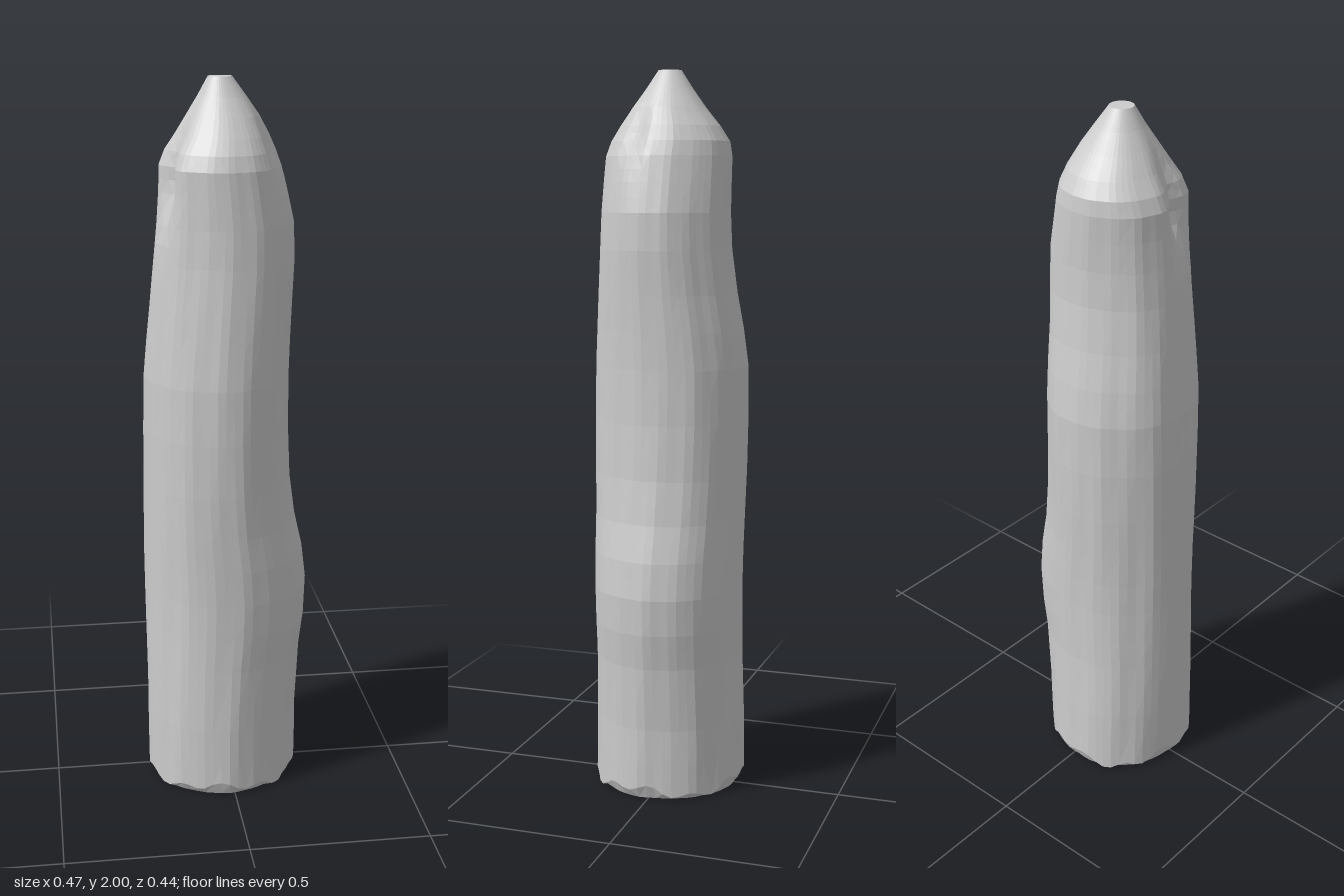
import * as THREE from 'three';

const SEG = 56;
const MAT = new THREE.MeshStandardMaterial({ color: 0xcccccc, flatShading: true, side: THREE.DoubleSide });

// Outline of the stake: [y, xMin, xMax, zMin, zMax]
const TRUNK = [
  [0.0, -0.23, 0.198, -0.21, 0.218], [0.2, -0.232, 0.2, -0.207, 0.216],
  [0.38, -0.232, 0.212, -0.202, 0.212], [0.48, -0.232, 0.226, -0.203, 0.211],
  [0.58, -0.232, 0.231, -0.204, 0.211], [0.68, -0.232, 0.22, -0.206, 0.212],
  [0.78, -0.231, 0.198, -0.209, 0.213], [0.9, -0.23, 0.183, -0.214, 0.215],
  [1.05, -0.229, 0.176, -0.218, 0.215], [1.2, -0.226, 0.175, -0.217, 0.212],
  [1.3, -0.217, 0.177, -0.204, 0.205], [1.4, -0.207, 0.18, -0.186, 0.198],
  [1.52, -0.196, 0.185, -0.171, 0.189], [1.62, -0.189, 0.182, -0.167, 0.184],
  [1.7, -0.184, 0.165, -0.167, 0.181], [1.77, -0.182, 0.15, -0.167, 0.178],
];
const TIP = [
  TRUNK.at(-1), [1.81, -0.165, 0.136, -0.162, 0.164], [1.85, -0.137, 0.118, -0.138, 0.138],
  [1.9, -0.106, 0.09, -0.098, 0.103], [1.95, -0.075, 0.054, -0.062, 0.067], [2.0, -0.047, 0.017, -0.029, 0.035],
];

// Linear refinement of an outline into n steps per span
function refine(rows, n) {
  const out = [];
  for (let i = 0; i < rows.length - 1; i++)
    for (let k = 0; k < n; k++)
      out.push(rows[i].map((v, j) => v + ((rows[i + 1][j] - v) * k) / n));
  out.push(rows.at(-1));
  return out;
}

// Soft local hollow around an angle and height
function dent(a, y, a0, y0, wa, wy, depth) {
  const da = Math.atan2(Math.sin(a - a0), Math.cos(a - a0)) / wa, dy = (y - y0) / wy;
  return depth * Math.exp(-da * da - dy * dy);
}

// Point on the worn wood surface
function surface([y, x0, x1, z0, z1], a) {
  const fade = THREE.MathUtils.clamp((2 - y) / 0.25, 0, 1);
  const grain = 0.010 * Math.sin(3 * a + 2.6 * y + 1) + 0.009 * Math.sin(5 * a - 3.1 * y)
    + 0.007 * Math.sin(9 * a + 1.7 * Math.sin(2.5 * y)) + 0.005 * Math.sin(17 * a + 4 * y);
  const k = 1 + fade * grain
    - dent(a, y, 2.85, 1.75, 0.28, 0.12, 0.27)
    - dent(a, y, 0.4, 1.83, 0.25, 0.08, 0.12);
  return [(x0 + x1) / 2 + ((x1 - x0) / 2) * k * Math.cos(a), y, (z0 + z1) / 2 + ((z1 - z0) / 2) * k * Math.sin(a)];
}

// Skin rings of points, from bottom to top
function loft(name, rings) {
  const index = [];
  for (let r = 0; r < rings.length - 1; r++)
    for (let i = 0; i < SEG; i++) {
      const a = r * SEG + i, b = r * SEG + ((i + 1) % SEG), c = a + SEG, d = b + SEG;
      if ((r + i) % 2) index.push(a, c, b, b, c, d);
      else index.push(a, c, d, a, d, b);
    }
  const geo = new THREE.BufferGeometry();
  geo.setAttribute('position', new THREE.Float32BufferAttribute(rings.flat(2), 3));
  geo.setIndex(index);
  geo.computeVertexNormals();
  const mesh = new THREE.Mesh(geo, MAT);
  mesh.name = name;
  return mesh;
}

const ring = (fn) => Array.from({ length: SEG }, (_, i) => fn((i / SEG) * Math.PI * 2));
const scaled = (pts, s, y, cx, cz) => pts.map(([x, , z]) => [cx + (x - cx) * s, y, cz + (z - cz) * s]);

export function createModel() {
  const group = new THREE.Group();
  group.name = 'woodenStake';

  const trunk = refine(TRUNK, 2).map((row) => ring((a) => surface(row, a)));
  // Splintered lower rim
  trunk[0] = trunk[0].map(([x, , z], i) => {
    const a = (i / SEG) * Math.PI * 2;
    const chip = 0.5 + 0.3 * Math.sin(4 * a + 1) + 0.25 * Math.sin(11 * a + 2);
    return [x, 0.04 * THREE.MathUtils.clamp(chip, 0.05, 1), z];
  });
  group.add(loft('trunk', trunk));

  // Flat sawn underside with a narrow broken edge
  const base = scaled(trunk[0], 0.94, 0, -0.015, 0.003);
  group.add(loft('underside', [scaled(base, 0, 0, -0.015, 0.003), base, trunk[0]]));

  // Sharpened point and its blunt end
  const tip = refine(TIP, 2).map((row) => ring((a) => surface(row, a)));
  group.add(loft('sharpenedTip', tip));
  group.add(loft('bluntEnd', [tip.at(-1), scaled(tip.at(-1), 0, 2, -0.015, 0.003)]));
  return group;
}
